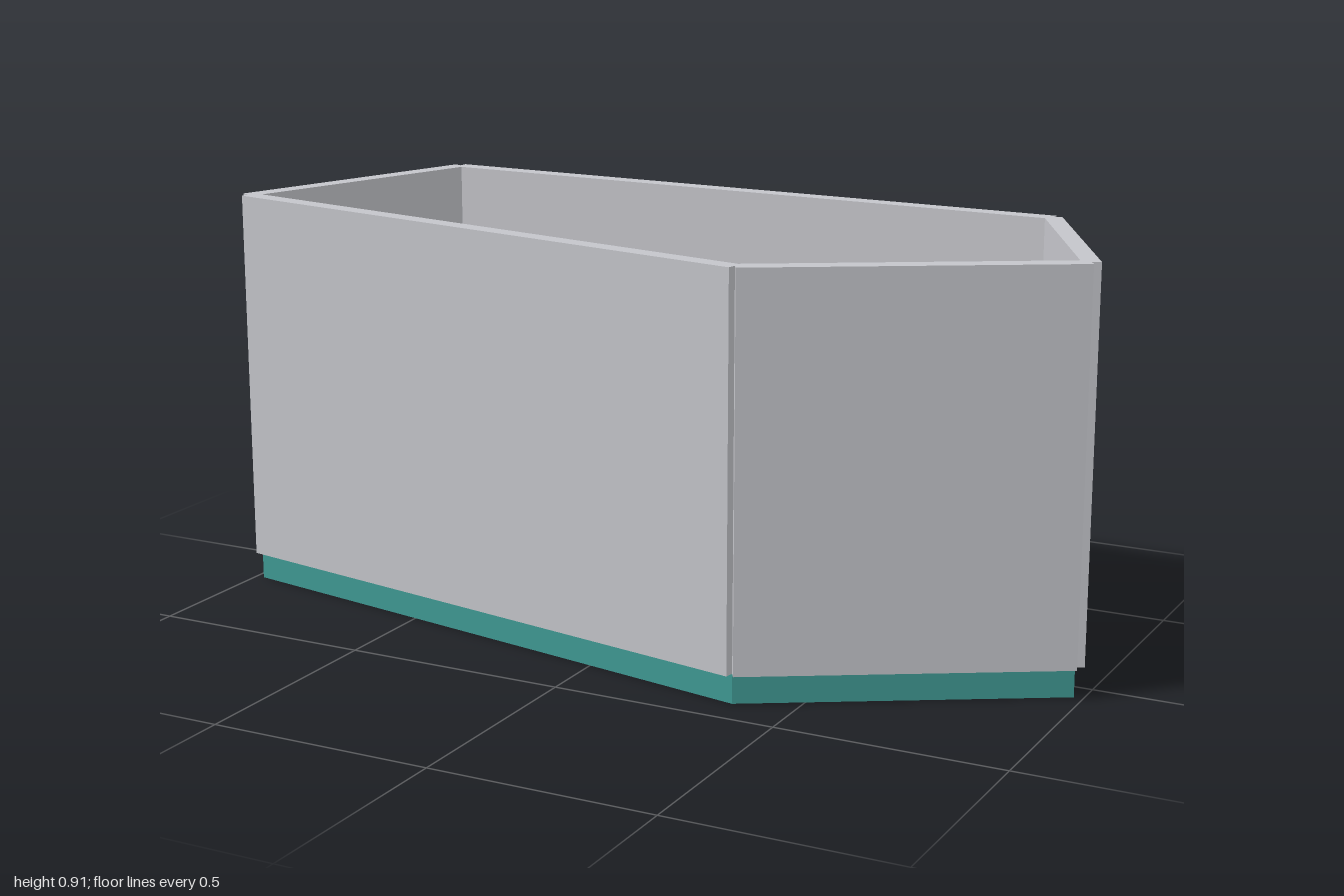
import * as THREE from 'three';

const FLOOR_TOP = 0.065;
const WALL_TOP = 0.913;
const WALL_THICKNESS = 0.04;

// Floor plan corners as [x, z]
const corners = [
  [-0.98, 0.169],
  [0.37, 0.419],
  [0.98, 0.061],
  [0.744, -0.389],
  [-0.776, -0.418],
];
const wallNames = ['frontWall', 'frontLeftWall', 'leftWall', 'backWall', 'rightWall'];

export function createModel() {
  const group = new THREE.Group();
  group.name = 'fiveSidedRoom';

  const wallGrey = new THREE.MeshStandardMaterial({ color: 0xc4c5ca });
  wallGrey.name = 'wall grey';
  const floorTeal = new THREE.MeshStandardMaterial({ color: 0x3f9993 });
  floorTeal.name = 'floor teal';

  // Floor slab: plan outline extruded upwards
  const outline = new THREE.Shape(corners.map(([x, z]) => new THREE.Vector2(x, -z)));
  const slab = new THREE.ExtrudeGeometry(outline, { depth: FLOOR_TOP, bevelEnabled: false });
  slab.rotateX(-Math.PI / 2);
  const floor = new THREE.Mesh(slab, floorTeal);
  floor.name = 'floor';
  group.add(floor);

  // One straight wall centred on each floor edge, leaving small notches at the corners
  const height = WALL_TOP - FLOOR_TOP;
  corners.forEach(([x1, z1], i) => {
    const [x2, z2] = corners[(i + 1) % corners.length];
    const length = Math.hypot(x2 - x1, z2 - z1);
    const wall = new THREE.Mesh(new THREE.BoxGeometry(length, height, WALL_THICKNESS), wallGrey);
    wall.position.set((x1 + x2) / 2, FLOOR_TOP + height / 2, (z1 + z2) / 2);
    wall.rotation.y = -Math.atan2(z2 - z1, x2 - x1);
    wall.name = wallNames[i];
    group.add(wall);
  });

  return group;
}
